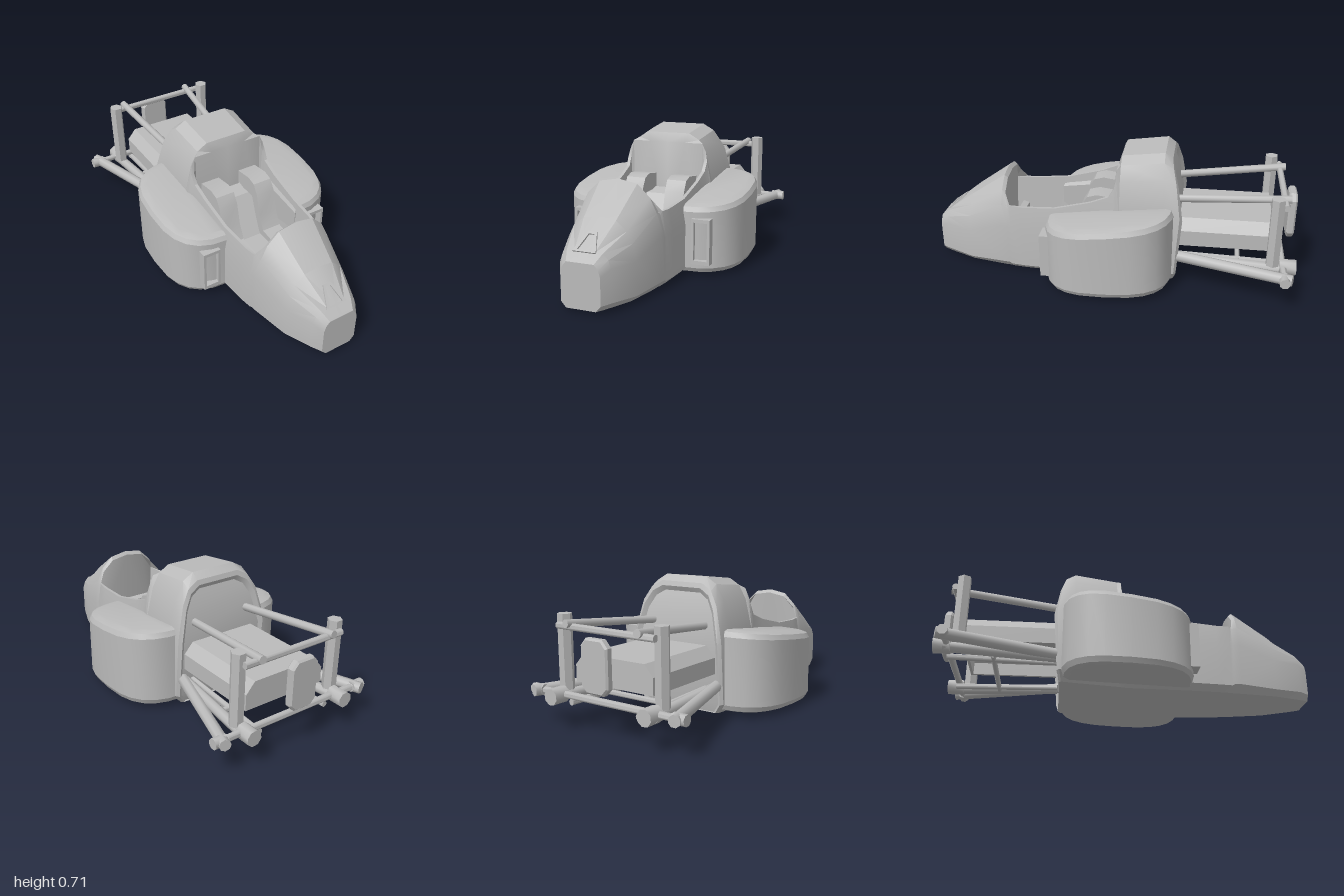
import * as THREE from 'three';
import { toCreasedNormals } from 'three/addons/utils/BufferGeometryUtils.js';

const grey = new THREE.MeshStandardMaterial({ color: 0xbbbbbb });
grey.name = 'plain grey';

const points = (list) => list.map(([x, y]) => new THREE.Vector2(x, y));
const polygon = (list) => new THREE.Shape(points(list));
const slab = (shape, depth) => new THREE.ExtrudeGeometry(shape, { depth, bevelEnabled: false });

// Hull half sections from bottom centre to top centre, as fractions of half width and height
const blunt = points([[0, 0], [.75, 0], [1, .13], [1, .74], [.9, .89], [.7, 1], [.4, 1], [0, 1]]);
const dome = points([[0, 0], [.84, 0], [1, .075], [1, .5], [.9, .71], [.74, .85], [.45, .967], [0, 1]]);
const open = points([[0, 0], [.86, 0], [1, .08], [1, .68], [.92, 1], [.85, 1], [.78, .33], [0, .3]]);
const panel = points([[0, 0], [.86, 0], [1, .08], [1, .64], [.87, .93], [.79, 1], [.4, 1], [0, 1]]);
const cowl = points([[0, 0], [.86, 0], [1, .08], [1, .58], [.84, .84], [.68, .95], [.46, 1], [0, 1]]);

// Lofts the sections along the car, mirrored to both sides
function hullGeometry() {
  // section, z, half width, top, z shift
  const stations = [
    [blunt, 1, .1, .24, 0], [blunt, .95, .13, .28, 0], [dome, .8, .185, .405, 0], [dome, .6, .225, .545, 0],
    [dome, .565, .228, .527, .017], [open, .55, .229, .39, .07],
    [open, .48, .238, .388, 0], [open, .3, .25, .4, 0], [open, .1, .254, .45, 0], [open, 0, .257, .49, 0],
    [open, -.03, .26, .54, 0], [panel, -.04, .262, .636, 0], [cowl, -.06, .265, .687, 0],
    [cowl, -.29, .278, .716, 0], [cowl, -.385, .28, .685, .045], [cowl, -.4, .265, .66, .05], [cowl, -.385, .245, .635, .05],
  ];
  const position = [], index = [], n = 14;
  for (const [section, z, w, top, shift] of stations) {
    const base = .005 + .015 * z ** 4 + Math.max(0, -.04 * z);
    for (let j = 0; j < n; j++) {
      const k = j < 8 ? j : n - j, p = section[k];
      // the tail curves forward above and below; elsewhere only the inner points move
      const move = section === cowl ? (2 * p.y - .9) ** 2 : Number(k > 4);
      position.push((j < 8 ? w : -w) * p.x, base + p.y * (top - base), z + shift * move);
    }
  }
  const last = (stations.length - 1) * n;
  for (let i = 0; i < last; i += n) {
    for (let j = 0; j < n; j++) {
      const k = (j + 1) % n, a = i + j, b = i + k, c = i + n + k, d = i + n + j;
      if (j < 7) index.push(a, d, b, b, d, c);
      else index.push(a, d, c, a, c, b);
    }
  }
  // end caps in level strips
  for (let j = 0; j < 7; j++) {
    const a = j, b = j + 1, c = n - j - 1, d = (n - j) % n;
    index.push(a, b, c, a, c, d, last + a, last + c, last + b, last + a, last + d, last + c);
  }
  const geometry = new THREE.BufferGeometry();
  geometry.setAttribute('position', new THREE.Float32BufferAttribute(position, 3));
  geometry.setIndex(index);
  return geometry;
}

// Side pod: rounded plan, bevelled, sheared so the roof rises to the rear
function podGeometry(s) {
  const plan = [];
  for (let i = 0; i <= 12; i++) {
    const a = Math.PI * (i / 12 - .5), round = (v) => Math.sign(v) * Math.abs(v) ** (2 / 2.8);
    plan.push([s * (.2 + .305 * round(Math.max(0, Math.cos(a)))), .01 + .345 * round(Math.sin(a))]);
  }
  const pod = new THREE.ExtrudeGeometry(polygon(plan),
    { depth: .82, bevelThickness: .09, bevelSize: .045, bevelOffset: -.045, bevelSegments: 2 });
  pod.rotateX(-Math.PI / 2).translate(0, .09, 0);
  const p = pod.attributes.position;
  for (let i = 0; i < p.count; i++) {
    const z = p.getZ(i), low = .02 - .03 * z, high = .418 - .136 * z;
    p.setY(i, low + (high - low) * p.getY(i));
  }
  return pod;
}

export function createModel() {
  const model = new THREE.Group();
  model.name = 'racingCarBody';

  const add = (name, geometry, crease = .45) => {
    const mesh = new THREE.Mesh(toCreasedNormals(geometry, crease), grey);
    mesh.name = name;
    model.add(mesh);
    return mesh;
  };

  // Straight bar between two points
  const bar = (name, a, b, r, sides = 8) => {
    const p = new THREE.Vector3(...a), q = new THREE.Vector3(...b);
    const mesh = add(name, new THREE.CylinderGeometry(r, r, p.distanceTo(q), sides).rotateY(Math.PI / 6), .9);
    mesh.position.copy(p).add(q).multiplyScalar(.5);
    mesh.quaternion.setFromUnitVectors(new THREE.Vector3(0, 1, 0), q.sub(p).normalize());
  };

  // Side profile (z, y) extruded across the car
  const across = (name, profile, x, width) =>
    add(name, slab(polygon(profile), width).rotateY(-Math.PI / 2).translate(x + width / 2, 0, 0));

  add('hull', hullGeometry());

  // Nose duct: a thin tapered frame lying on the slope
  const duct = polygon([[-.06, 0], [.06, 0], [.022, .115], [-.022, .115]]);
  duct.holes.push(new THREE.Path(points([[-.038, .01], [-.014, .1], [.014, .1], [.038, .01]])));
  const ductMesh = add('noseDuct', slab(duct, .012));
  ductMesh.rotation.x = -.896;
  ductMesh.position.set(0, .271, .953);

  // Cockpit fittings
  across('seat', [[-.02, .12], [.42, .12], [.4, .16], [.2, .16], [.06, .36], [-.02, .38]], 0, .37);
  across('dashboard', [[.54, .12], [.58, .12], [.58, .24], [.545, .23]], 0, .36);

  for (const s of [1, -1]) {
    const side = s > 0 ? 'left' : 'right';
    across(side + 'HarnessPad', [[-.035, .37], [.11, .37], [.15, .26], [.2, .15], [.4, .15], [.4, .18],
      [.23, .2], [.19, .28], [.16, .4], [.125, .455], [.07, .47], [-.035, .455]], s * .12, .11);
    add(side + 'SidePod', podGeometry(s), .4);

    // Intake frame on the front of the pod
    const frame = polygon([[-.05, .07], [.05, .07], [.05, .31], [-.05, .31]]);
    frame.holes.push(new THREE.Path(points([[-.036, .09], [-.036, .292], [.036, .292], [.036, .09]])));
    add(side + 'IntakeFrame', slab(frame, .06)).position.set(s * .335, 0, .29);

    // Rear frame
    bar(side + 'Post', [s * .3, .19, -.875], [s * .3, .567, -.875], .037, 6);
    bar(side + 'UpperRod', [s * .165, .475, -.35], [s * .22, .533, -.95], .021);
    bar(side + 'LowerRail', [s * .23, .16, -.37], [s * .3, .165, -.95], .028);
    bar(side + 'InnerRail', [s * .18, .15, -.37], [s * .21, .15, -.94], .016);
    bar(side + 'DiagonalArm', [s * .24, .17, -.36], [s * .435, .18, -.97], .03);
    bar(side + 'RailEnd', [s * .29, .175, -.91], [s * .29, .175, -.998], .042);
    bar(side + 'ArmPivot', [s * .4, .18, -.93], [s * .475, .18, -.93], .028);
  }

  // Cross members
  bar('lowerCrossBar', [-.46, .18, -.93], [.46, .18, -.93], .018);
  bar('upperCrossBar', [-.3, .515, -.92], [.3, .515, -.92], .018);
  bar('innerCrossBar', [-.25, .15, -.7], [.25, .15, -.7], .014);

  // Engine cover: open underneath, closed at the back
  const cover = [[-.24, .235], [-.24, .32], [-.19, .378], [.19, .378], [.24, .32], [.24, .235]];
  const lining = cover.map(([x, y]) => [x * .93, y > .3 ? y - .015 : y]).reverse();
  add('engineCover', slab(polygon([...cover, ...lining]), .48)).position.z = -.86;
  add('engineRearPanel', slab(polygon(cover), .015)).position.z = -.87;

  // Rear lamp with cut corners
  const lamp = polygon([[-.05, .23], [.05, .23], [.082, .265], [.082, .455],
    [.05, .492], [-.05, .492], [-.082, .455], [-.082, .265]]);
  add('rearLamp', new THREE.ExtrudeGeometry(lamp,
    { depth: .025, bevelThickness: .009, bevelSize: .009, bevelOffset: -.009, bevelSegments: 1 })).position.z = -.99;

  return model;
}
